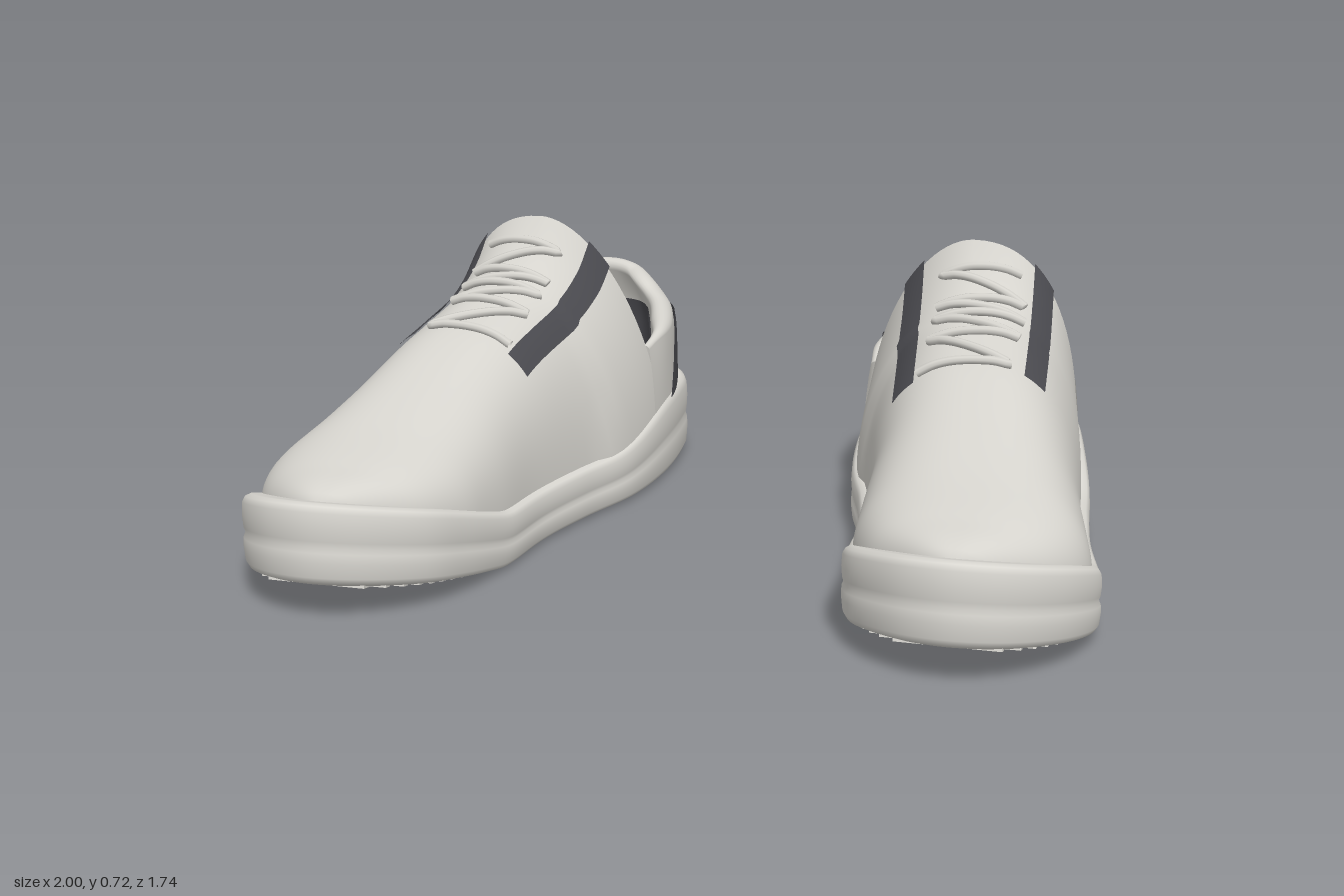
import * as THREE from 'three';
import { mergeGeometries } from 'three/addons/utils/BufferGeometryUtils.js';

const { lerp, clamp, smoothstep } = THREE.MathUtils;
const V = (x, y, z) => new THREE.Vector3(x, y, z);

// Smooth 1D function through a few [input, value] pairs
function through(pts) {
  const slope = i => {
    const a = pts[Math.max(i - 1, 0)], b = pts[Math.min(i + 1, pts.length - 1)];
    return (b[1] - a[1]) / (b[0] - a[0]);
  };
  return v => {
    v = clamp(v, pts[0][0], pts[pts.length - 1][0]);
    let i = 0;
    while (i < pts.length - 2 && v > pts[i + 1][0]) i++;
    const [x0, y0] = pts[i], [x1, y1] = pts[i + 1], w = x1 - x0, t = (v - x0) / w;
    const t2 = t * t, t3 = t2 * t;
    return y0 * (2 * t3 - 3 * t2 + 1) + y1 * (3 * t2 - 2 * t3)
      + slope(i) * w * (t3 - 2 * t2 + t) + slope(i + 1) * w * (t3 - t2);
  };
}

// Surface through rows of points
function grid(rows, closed = false) {
  const n = rows[0].length, pos = [], idx = [];
  rows.forEach(r => r.forEach(p => pos.push(p.x, p.y, p.z)));
  for (let r = 0; r < rows.length - 1; r++) {
    for (let i = 0; i < (closed ? n : n - 1); i++) {
      const j = (i + 1) % n, a = r * n + i, b = r * n + j, d = a + n, c = b + n;
      idx.push(a, d, b, b, d, c);
    }
  }
  const g = new THREE.BufferGeometry();
  g.setAttribute('position', new THREE.Float32BufferAttribute(pos, 3));
  g.setIndex(idx);
  g.computeVertexNormals();
  return g;
}
const range = (n, f) => Array.from({ length: n + 1 }, (_, i) => f(i / n));

// Mirror a geometry across x = 0, keeping faces outward
function mirrored(g) {
  const m = g.clone().scale(-1, 1, 1), ix = m.index;
  for (let i = 0; i < ix.count; i += 3) {
    const a = ix.getX(i);
    ix.setX(i, ix.getX(i + 1));
    ix.setX(i + 1, a);
  }
  return m;
}

// Plan outline of the left sole: toe, inner side, heel, outer side
const outline = new THREE.CatmullRomCurve3([
  [.72, .867], [.63, .846], [.55, .79], [.478, .7], [.437, .58], [.407, .4], [.39, .2], [.345, 0], [.285, -.2],
  [.265, -.4], [.276, -.6], [.3, -.72], [.36, -.81], [.44, -.856], [.53, -.87], [.62, -.856], [.695, -.81],
  [.76, -.72], [.8, -.6], [.845, -.4], [.885, -.2], [.91, 0], [.94, .2], [.985, .4], [.999, .5], [.987, .6],
  [.95, .7], [.885, .79], [.81, .845],
].map(([x, z]) => V(x, 0, z)), true).getSpacedPoints(200).slice(0, 200);

const inset = dist => outline.map((p, i) => {
  const t = outline[(i + 1) % 200].clone().sub(outline[(i + 199) % 200]).normalize(), d = dist(p);
  return V(p.x - t.z * d, 0, p.z + t.x * d);
});

// Inner and outer x of a closed outline at a given z
function spanOf(poly) {
  const zs = poly.map(p => p.z), lo = Math.min(...zs) + 1e-4, hi = Math.max(...zs) - 1e-4;
  const f = z => {
    z = clamp(z, lo, hi);
    const xs = [];
    poly.forEach((p, i) => {
      const q = poly[(i + 1) % poly.length];
      if ((p.z <= z) !== (q.z <= z)) xs.push(lerp(p.x, q.x, (z - p.z) / (q.z - p.z)));
    });
    return [Math.min(...xs), Math.max(...xs)];
  };
  f.hi = hi;
  return f;
}
const soleSpan = spanOf(outline);
const upperSpan = spanOf(inset(p => .022 + .055 * smoothstep(p.z, .5, .84) - (p.x < .5 && p.z < -.1 ? .01 : 0)));

// Side profiles along z
const soleTop = through([[-.87, .21], [-.45, .205], [-.15, .142], [0, .136], [.36, .136], [.43, .15], [.65, .22], [.87, .285]]);
const soleBottom = through([[-.87, 0], [.1, 0], [.4, 0], [.48, .012], [.87, .085]]);
const ridge = through([[-.29, .715], [-.23, .64], [-.135, .575], [0, .53], [.12, .495], [.31, .42], [.49, .355], [.655, .31], [.77, .275], [.8, .23]]);
const rimHeight = through([[-.87, .515], [-.82, .497], [-.76, .455], [-.68, .435], [-.6, .42], [-.46, .395], [-.365, .37]]);
const lean = through([[.1, .036], [.3, .037], [.4, .046], [.48, .085], [.52, .1]]);
const TONGUE = -.29;
// Roundness of the vamp section on the inner (-1) and outer (1) side
const power = (side, z) => side < 0 ? lerp(1.85, 2.6, smoothstep(z, TONGUE, .12)) : 2.35;

// Vamp surface: station z and signed width fraction q (-1 inner, 1 outer)
function vamp(zs, q) {
  const n = power(q, zs), f = Math.max(0, 1 - Math.abs(q) ** n) ** (1 / n);
  const base = soleTop(zs) - .04, h = ridge(zs), y = lerp(base, h, f);
  const z = zs - .217 * (h - y) * (1 - smoothstep(zs, TONGUE, .1));
  const [a, b] = upperSpan(z);
  return V((a + b) / 2 + q * (b - a) / 2, y, z);
}
function vampAt(x, z, lift) {
  const [a, b] = upperSpan(z), q = (2 * x - a - b) / (b - a);
  return vamp(z, q).add(V(q * lift * .8, lift, 0));
}

// Quarter wall around the heel: u along the path, height y, depth d into the shoe
const heelPath = new THREE.CatmullRomCurve3(outline.filter(p => p.z < -.35));
function wall(u, y, d) {
  const p = heelPath.getPointAt(u), t = heelPath.getTangentAt(u), side = u < .5 ? -1 : 1;
  const o = lean(y) * (side < 0 ? lerp(1, .4, smoothstep(p.z, -.75, -.5)) : 1) + d;
  let x = p.x - t.z * o;
  const z = p.z + t.x * o, k = smoothstep(z, -.48, -.35) * (side < 0 ? .6 : 1);
  if (k > 0) {
    const n = power(side, TONGUE), base = soleTop(TONGUE) - .04;
    const f = clamp((y - base) / (ridge(TONGUE) - base), 0, 1), [a, b] = upperSpan(z);
    x = lerp(x, (a + b) / 2 + side * ((b - a) / 2 * (1 - f ** n) ** (1 / n) - d), k);
  }
  return V(x, y, z);
}
const padding = u => lerp(.02, .06, smoothstep(-heelPath.getPointAt(u).z, .38, .58));

function soleGeometry() {
  // [inset, height fraction, width scale]
  const profile = [[.035, 0, 0], [.035, 0, .5], [.035, 0, .98], [.028, 0, 1], [.01, .03, 1], [.003, .1, 1], [0, .28, 1],
    [.001, .4, 1], [.006, .47, 1], [.002, .54, 1], [0, .7, 1], [.002, .88, 1], [.009, .96, 1], [.022, 1, 1],
    [.04, 1, 1], [.04, 1, .5], [.04, 1, 0]];
  return grid(profile.map(([d, t, k]) => inset(() => d).map(p => {
    const [a, b] = soleSpan(p.z), m = (a + b) / 2;
    return V(m + (p.x - m) * k, lerp(soleBottom(p.z) + .004, soleTop(p.z), t), p.z);
  })), true);
}

function treadGeometry() {
  const bars = [];
  for (let z = -.82; z < .82; z += .036) {
    const [a, b] = soleSpan(z), g = new THREE.BoxGeometry(b - a - .08, .008, .024);
    g.rotateX(-Math.atan((soleBottom(z + .01) - soleBottom(z - .01)) / .02));
    bars.push(g.translate((a + b) / 2, soleBottom(z) + .004, z));
  }
  return mergeGeometries(bars);
}

function vampGeometry() {
  return grid(range(48, s => range(48, c => {
    const z = lerp(TONGUE, upperSpan.hi, Math.sin(s * Math.PI / 2)), w = -Math.cos(Math.PI * c);
    return vamp(z, Math.sign(w) * Math.abs(w) ** (2 / power(w, z)));
  })));
}

function collarGeometry() {
  const columns = range(72, u => {
    const th = padding(u), r = th / 2, top = rimHeight(heelPath.getPointAt(u).z) - r;
    return [
      ...range(8, s => wall(u, lerp(.1, top, s), 0)),
      ...range(10, s => wall(u, top + r * Math.sin(Math.PI * s), r * (1 - Math.cos(Math.PI * s)))).slice(1),
      ...range(6, s => wall(u, lerp(top, .15, s), th)).slice(1),
    ];
  });
  return grid(columns[0].map((_, i) => columns.map(c => c[i])));
}

// Slanted front edge of the dark heel area
const heelCut = (x, y) => -.55 - .119 * (x - .78) - .31 * (y - .21);
function heelPatch(depth) {
  return grid(range(8, s => {
    const y = lerp(.17, .4, s);
    const inside = range(400, u => u).filter(u => {
      const p = wall(u, y, 0);
      return p.z < heelCut(p.x, y);
    });
    return range(48, t => {
      const u = lerp(inside[0], inside[inside.length - 1], t);
      return wall(u, y, depth(u));
    });
  }));
}
function heelPad() {
  return grid(range(14, s => range(10, t => {
    const z = lerp(-.525, -.79, s), [a, b] = upperSpan(z), x = lerp(a + .02, b - .02, t);
    return V(x, soleTop(z) + .006, z - .119 * (x - .55) * (1 - s));
  })).reverse());
}

// Stripe plate lying on the vamp
function stripe(xBack, xFront, zBack, zFront) {
  return grid(range(24, s => range(4, t => {
    const x = lerp(xBack, xFront, s) + lerp(-.024, .024, t);
    return vampAt(x, lerp(zBack, zFront, s), .007);
  })));
}

function laceGeometry() {
  const turns = [[.51, .11], [.72, .09], [.51, -.02], [.72, -.05], [.51, -.105], [.72, -.13],
    [.5, -.15], [.71, -.18], [.5, -.235], [.69, -.25]];
  const pts = [];
  turns.slice(0, -1).forEach(([x, z], i) => {
    const [x1, z1] = turns[i + 1];
    for (let k = 0; k < 6; k++) pts.push(vampAt(lerp(x, x1, k / 6), lerp(z, z1, k / 6), .009));
  });
  pts.push(vampAt(.69, -.25, .009));
  return new THREE.TubeGeometry(new THREE.CatmullRomCurve3(pts), 220, .011, 8);
}

export function createModel() {
  const upper = new THREE.MeshStandardMaterial({ color: 0xd5d3cd, side: THREE.DoubleSide });
  upper.name = 'pale grey upper';
  const rubber = new THREE.MeshStandardMaterial({ color: 0xd9d7d1 });
  rubber.name = 'off-white rubber';
  const dark = new THREE.MeshStandardMaterial({ color: 0x4a4a4f, side: THREE.DoubleSide });
  dark.name = 'charcoal trim';

  const laceEnd = new THREE.LineCurve3(V(.675, .62, -.355), V(.5, .19, -.335));
  const parts = [
    ['sole', soleGeometry(), rubber],
    ['tread', treadGeometry(), rubber],
    ['vamp', vampGeometry(), upper],
    ['collar', collarGeometry(), upper],
    ['heelPatch', heelPatch(() => -.006), dark],
    ['heelLining', heelPatch(u => padding(u) + .006), dark],
    ['heelPad', heelPad(), dark],
    ['innerStripe', stripe(.42, .482, TONGUE, .135), dark],
    ['outerStripe', stripe(.74, .78, TONGUE, .105), dark],
    ['laces', laceGeometry(), upper],
    ['laceEnd', new THREE.TubeGeometry(laceEnd, 1, .009, 8), upper],
  ];

  const model = new THREE.Group();
  model.name = 'pairOfShoes';
  for (const side of ['left', 'right']) {
    const shoe = new THREE.Group();
    shoe.name = side + 'Shoe';
    for (const [name, geometry, material] of parts) {
      const mesh = new THREE.Mesh(side === 'left' ? geometry : mirrored(geometry), material);
      mesh.name = name;
      shoe.add(mesh);
    }
    model.add(shoe);
  }
  return model;
}
